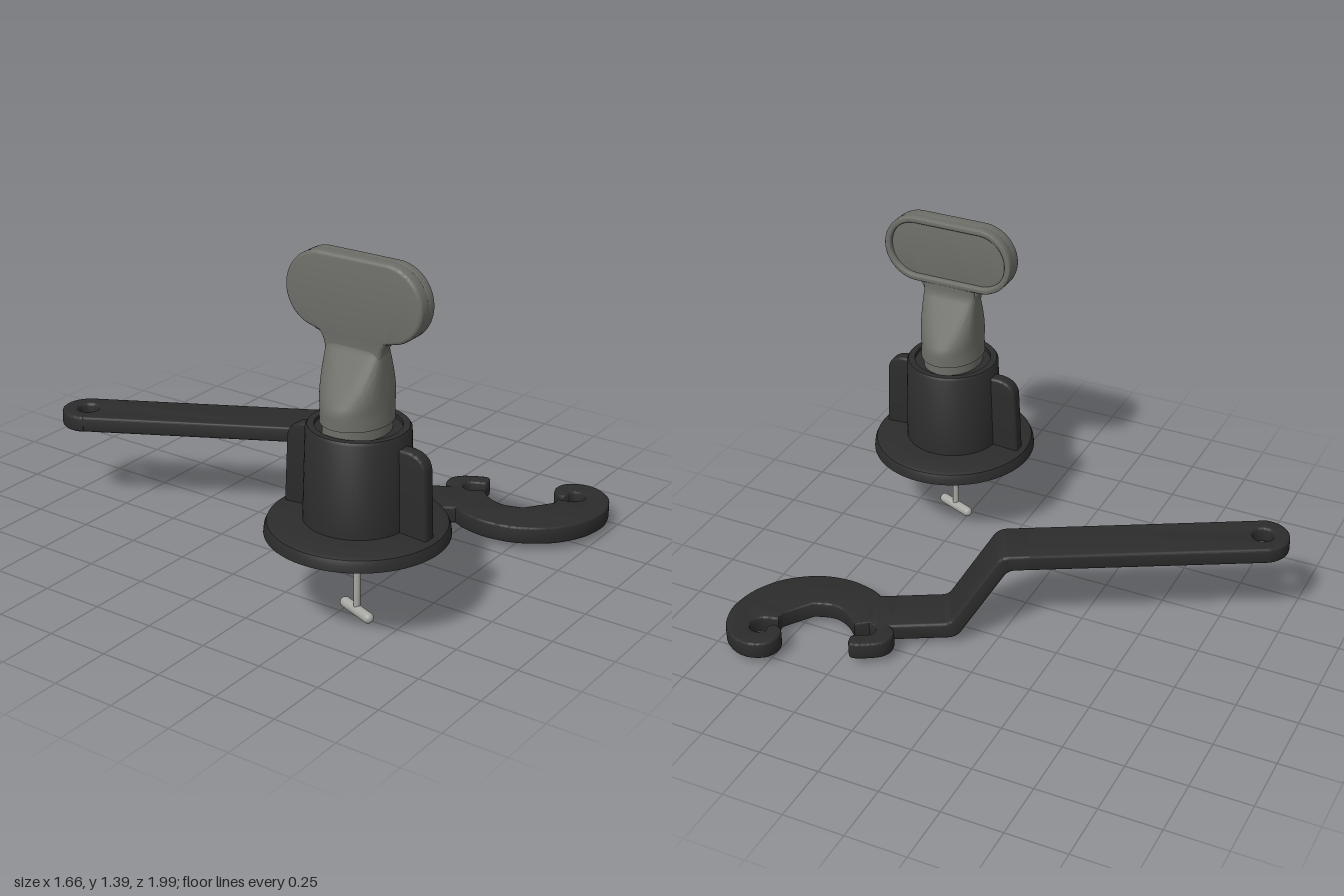
import * as THREE from 'three';
import { toCreasedNormals } from 'three/addons/utils/BufferGeometryUtils.js';

const mat = (name, color) => Object.assign(new THREE.MeshStandardMaterial({ color }), { name });

// Extrusion with softened edges that keeps the drawn outline
function plate(shape, depth, bevel = 0.01) {
  const geo = new THREE.ExtrudeGeometry(shape, {
    depth: depth - 2 * bevel, curveSegments: 20, bevelEnabled: bevel > 0,
    bevelThickness: bevel, bevelSize: bevel, bevelOffset: -bevel, bevelSegments: 3,
  });
  geo.translate(0, 0, bevel);
  return toCreasedNormals(geo, 0.7);
}

const lathe = (pts) => toCreasedNormals(
  new THREE.LatheGeometry(pts.map(([x, y]) => new THREE.Vector2(x, y)), 64), 0.6);

const vecs = (pts) => pts.map(([x, y]) => new THREE.Vector2(x, y));

// Rounded rectangle centred on x = 0
function roundedRect(target, half, bottom, top, r) {
  target.moveTo(half - r, bottom);
  target.absarc(half - r, bottom + r, r, -Math.PI / 2, 0);
  target.absarc(half - r, top - r, r, 0, Math.PI / 2);
  target.absarc(-half + r, top - r, r, Math.PI / 2, Math.PI);
  target.absarc(-half + r, bottom + r, r, Math.PI, Math.PI * 1.5);
  target.closePath();
  return target;
}

// Key head outline, flowing into the neck
function keyOutline() {
  const s = new THREE.Shape();
  s.moveTo(-0.115, 1.03);
  s.lineTo(0.115, 1.03);
  s.quadraticCurveTo(0.118, 1.1, 0.16, 1.105);
  s.absarc(0.143, 1.245, 0.14, -Math.PI / 2, 0);
  s.absarc(0.138, 1.245, 0.145, 0, Math.PI / 2);
  s.absarc(-0.138, 1.245, 0.145, Math.PI / 2, Math.PI);
  s.absarc(-0.143, 1.245, 0.14, Math.PI, Math.PI * 1.5);
  s.lineTo(-0.16, 1.105);
  s.quadraticCurveTo(-0.118, 1.1, -0.115, 1.03);
  return s;
}

// Neck: oval at the collar, blending to a flat blade under the head
function neckGeometry() {
  const geo = new THREE.CylinderGeometry(1, 1, 0.32, 64, 16);
  const p = geo.attributes.position;
  for (let i = 0; i < p.count; i++) {
    const y = p.getY(i) + 0.95;
    const k = THREE.MathUtils.clamp((y - 0.85) / 0.22, 0, 1);
    const rx = THREE.MathUtils.lerp(0.152, 0.041, k);
    const rz = 0.127 - 0.012 * (y - 0.79) / 0.32;
    const e = 2 / (2 + 3 * k);
    const bend = (v) => Math.sign(v) * Math.abs(v) ** e;
    p.setXYZ(i, rx * bend(p.getX(i)), y, rz * bend(p.getZ(i)));
  }
  return toCreasedNormals(geo, 0.6);
}

export function createModel() {
  const black = mat('blackPlastic', 0x2c2c2c);
  const grey = mat('greyPlastic', 0x6e6e69);
  const steel = mat('steel', 0xa6a6a2);
  const model = new THREE.Group();
  const add = (parent, name, geo, material) => {
    const m = new THREE.Mesh(geo, material);
    m.name = name;
    parent.add(m);
    return m;
  };

  // ---- Turn lock ----
  const lock = new THREE.Group();
  lock.name = 'turnLock';
  lock.position.set(-0.493, 0, 0.568);
  model.add(lock);

  add(lock, 'flange', lathe([[0, 0.345], [0.341, 0.345], [0.338, 0.37], [0.33, 0.388], [0.315, 0.395],
    [0.21, 0.402], [0, 0.402]]), black);
  add(lock, 'housing', lathe([[0.2, 0.39], [0.191, 0.755], [0.184, 0.765], [0.158, 0.765], [0.158, 0.75],
    [0, 0.75]]), black);

  // Side fins, one plate through the housing
  const fin = new THREE.Shape();
  fin.moveTo(-0.308, 0.385);
  fin.lineTo(0.308, 0.385);
  fin.lineTo(0.297, 0.65);
  fin.quadraticCurveTo(0.292, 0.712, 0.22, 0.718);
  fin.lineTo(-0.22, 0.718);
  fin.quadraticCurveTo(-0.292, 0.712, -0.297, 0.65);
  fin.closePath();
  const finMesh = add(lock, 'fins', plate(fin, 0.056).rotateY(Math.PI / 2), black);
  finMesh.position.x = -0.028;

  // Key
  const key = new THREE.Group();
  key.name = 'key';
  key.position.x = -0.008;
  lock.add(key);
  const collar = add(key, 'collar', new THREE.CylinderGeometry(1, 1, 0.05, 64), grey);
  collar.scale.set(0.142, 1, 0.118);
  collar.position.y = 0.77;
  add(key, 'neck', neckGeometry(), grey);
  const back = add(key, 'keyHead', plate(keyOutline(), 0.066, 0.012).rotateY(Math.PI / 2), grey);
  back.position.x = -0.043;
  const rim = roundedRect(new THREE.Shape(), 0.283, 1.105, 1.39, 0.142);
  rim.holes.push(roundedRect(new THREE.Path(), 0.256, 1.132, 1.363, 0.113));
  add(key, 'keyRim', plate(rim, 0.043, 0.008).rotateY(Math.PI / 2), grey);

  // Pin with cross bar
  const pin = add(lock, 'pin', new THREE.CylinderGeometry(0.013, 0.013, 0.4, 24), steel);
  pin.position.y = 0.22;
  const bar = add(lock, 'crossBar', new THREE.CapsuleGeometry(0.021, 0.145, 8, 24).rotateX(Math.PI / 2), steel);
  bar.position.y = 0.021;
  bar.rotation.y = -Math.atan2(0.055, 0.14);

  // ---- Wrench ----
  const wrench = new THREE.Group();
  wrench.name = 'wrench';
  model.add(wrench);
  // Handle space: x runs along the handle from the hanging hole
  const handle = new THREE.Group();
  handle.name = 'handle';
  handle.position.set(-0.3, 0, -0.89);
  handle.rotation.y = -Math.atan2(0.881, 0.473);
  wrench.add(handle);

  const w = 0.103;
  const grip = new THREE.Shape();
  grip.moveTo(0.93, -w);
  grip.lineTo(0.93, w);
  grip.lineTo(0, w);
  grip.absarc(0, 0, w + 0.003, Math.PI / 2, Math.PI * 1.5);
  grip.closePath();
  grip.holes.push(new THREE.Path().absarc(0, 0, 0.043, 0, Math.PI * 2, true));
  const gripMesh = add(handle, 'grip', plate(grip, 0.066).rotateX(Math.PI / 2), black);
  gripMesh.position.y = 0.411;

  // Cranked section stepping down to the head
  const crank = new THREE.Shape();
  crank.moveTo(0.89, 0.345);
  crank.lineTo(0.98, 0.345);
  crank.quadraticCurveTo(1.01, 0.345, 1.025, 0.32);
  crank.lineTo(1.195, 0.06);
  crank.quadraticCurveTo(1.215, 0.03, 1.25, 0.03);
  crank.lineTo(1.52, 0.03);
  crank.lineTo(1.52, 0.1);
  crank.lineTo(1.265, 0.1);
  crank.quadraticCurveTo(1.24, 0.1, 1.225, 0.125);
  crank.lineTo(1.055, 0.385);
  crank.quadraticCurveTo(1.035, 0.411, 1.0, 0.411);
  crank.lineTo(0.89, 0.411);
  crank.closePath();
  const crankMesh = add(handle, 'crank', plate(crank, 2 * w), black);
  crankMesh.position.z = -w;

  // Hook head, drawn in plan (x, z)
  const head = new THREE.Shape();
  head.moveTo(0.296, 0.435);
  head.lineTo(0.468, 0.345);
  head.lineTo(0.482, 0.37);
  // upper claw
  head.splineThru(vecs([[0.505, 0.335], [0.56, 0.322], [0.608, 0.352], [0.652, 0.432], [0.645, 0.462],
    [0.605, 0.472], [0.59, 0.455], [0.57, 0.415], [0.545, 0.4], [0.515, 0.412], [0.5, 0.45]]));
  head.lineTo(0.536, 0.496);
  head.lineTo(0.498, 0.538);
  // jaw
  head.splineThru(vecs([[0.472, 0.585], [0.464, 0.64], [0.485, 0.71]]));
  head.lineTo(0.596, 0.788);
  head.lineTo(0.634, 0.785);
  // lower claw with round pocket
  head.splineThru(vecs([[0.652, 0.848], [0.69, 0.873], [0.728, 0.858], [0.738, 0.822], [0.718, 0.797],
    [0.685, 0.798], [0.668, 0.775], [0.69, 0.738], [0.744, 0.725], [0.795, 0.752], [0.822, 0.815],
    [0.812, 0.88], [0.765, 0.945], [0.69, 0.982], [0.61, 0.993], [0.5, 0.97], [0.39, 0.9],
    [0.31, 0.785], [0.283, 0.66], [0.298, 0.55], [0.325, 0.49]]));
  head.closePath();
  const headMesh = add(wrench, 'hookHead', plate(head, 0.071, 0.008).rotateX(Math.PI / 2), black);
  headMesh.position.y = 0.1;

  return model;
}
